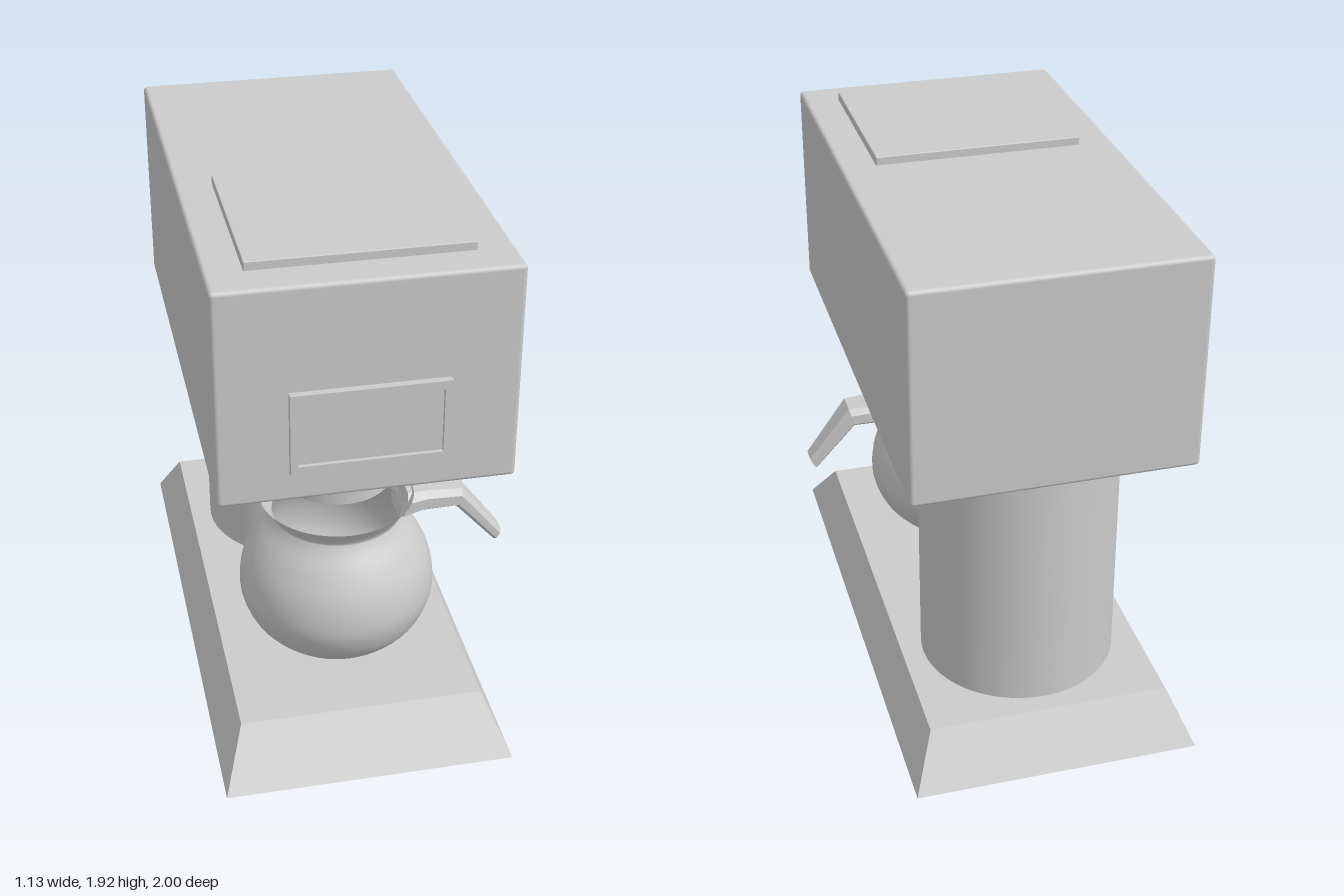
import * as THREE from 'three';
import { RoundedBoxGeometry } from 'three/addons/geometries/RoundedBoxGeometry.js';

const CX = -0.055; // centre line of the machine
const POT_Z = 0.39;

export function createModel() {
  const model = new THREE.Group();
  model.name = 'coffeeMaker';
  const grey = new THREE.MeshStandardMaterial({ color: 0xcccccc });
  const thin = new THREE.MeshStandardMaterial({ color: 0xcccccc, side: THREE.DoubleSide });
  const flat = new THREE.MeshStandardMaterial({ color: 0xcccccc, flatShading: true });

  const add = (name, geometry, x, y, z, material = grey, parent = model) => {
    const mesh = new THREE.Mesh(geometry, material);
    mesh.name = name;
    mesh.position.set(x, y, z);
    parent.add(mesh);
    return mesh;
  };

  // Base plate with sloping sides
  const base = new THREE.BoxGeometry(1.025, 0.185, 2);
  const p = base.attributes.position;
  for (let i = 0; i < p.count; i++) {
    if (p.getY(i) > 0) {
      p.setX(i, p.getX(i) > 0 ? 0.433 : -0.433);
      p.setZ(i, p.getZ(i) > 0 ? 0.84 : -0.875);
    }
  }
  base.computeVertexNormals();
  add('base', base, -0.053, 0.0925, 0);

  // Rear column
  add('column', new THREE.CylinderGeometry(0.355, 0.355, 0.96, 48), -0.053, 0.66, -0.45);

  // Upper housing and lid
  add('housing', new RoundedBoxGeometry(0.985, 0.765, 1.775, 3, 0.015), -0.053, 1.5125, -0.003);
  add('lid', new RoundedBoxGeometry(0.735, 0.045, 0.67, 2, 0.004), -0.053, 1.9025, 0.418);

  // Display: raised frame around a recessed screen
  const rect = (target, w, h) => {
    target.moveTo(-w / 2, -h / 2);
    target.lineTo(w / 2, -h / 2);
    target.lineTo(w / 2, h / 2);
    target.lineTo(-w / 2, h / 2);
    target.closePath();
    return target;
  };
  const frame = rect(new THREE.Shape(), 0.52, 0.29);
  frame.holes.push(rect(new THREE.Path(), 0.47, 0.23));
  const display = new THREE.Group();
  display.name = 'display';
  display.position.set(-0.05, 1.385, 0.88);
  model.add(display);
  add('displayFrame', new THREE.ExtrudeGeometry(frame, { depth: 0.03, bevelEnabled: false }), 0, 0, 0, grey, display);
  add('displayScreen', new THREE.BoxGeometry(0.47, 0.23, 0.015), 0, 0, 0.0075, grey, display);

  // Stepped filter holder
  const filter = new THREE.Group();
  filter.name = 'filterHolder';
  model.add(filter);
  const steps = [[0.288, 1.045, 1.135], [0.253, 0.985, 1.045], [0.222, 0.932, 0.985], [0.195, 0.882, 0.932]];
  steps.forEach(([r, low, high], i) => {
    add('filterStep' + (i + 1), new THREE.CylinderGeometry(r, r, high - low, 48), CX, (low + high) / 2, POT_Z, grey, filter);
  });

  // Glass pot: closed bottom, round belly, narrow neck, flared rim
  const pot = new THREE.Group();
  pot.name = 'pot';
  model.add(pot);
  const belly = new THREE.SplineCurve([
    [0.16, 0.186], [0.235, 0.232], [0.307, 0.305], [0.346, 0.39], [0.353, 0.465],
    [0.337, 0.555], [0.296, 0.64], [0.25, 0.705], [0.232, 0.74],
  ].map(([x, y]) => new THREE.Vector2(x, y)));
  const profile = [
    new THREE.Vector2(0, 0.186),
    ...belly.getPoints(32),
    new THREE.Vector2(0.245, 0.762),
    new THREE.Vector2(0.277, 0.806),
  ];
  add('potBody', new THREE.LatheGeometry(profile, 56), CX, 0, POT_Z, thin, pot);

  // Handle: chamfered sections as [top x, top y, bottom x, bottom y, half width]
  const sections = [
    [0.195, 0.8, 0.165, 0.695, 0.093],
    [0.27, 0.794, 0.25, 0.712, 0.075],
    [0.4, 0.785, 0.38, 0.712, 0.07],
    [0.56, 0.575, 0.535, 0.533, 0.046],
  ];
  const ring = [[0, 0.65], [0.25, 1], [0.75, 1], [1, 0.65], [1, -0.65], [0.75, -1], [0.25, -1], [0, -0.65]];
  const points = [];
  const faces = [];
  const n = ring.length;
  sections.forEach(([tx, ty, bx, by, w], s) => {
    for (const [t, side] of ring) points.push(tx + (bx - tx) * t, ty + (by - ty) * t, side * w);
    if (s === 0) return;
    for (let i = 0; i < n; i++) {
      const a = (s - 1) * n + i, b = (s - 1) * n + (i + 1) % n;
      faces.push(a, b, a + n, b, b + n, a + n);
    }
  });
  const last = (sections.length - 1) * n;
  for (let i = 1; i < n - 1; i++) {
    faces.push(0, i + 1, i, last, last + i, last + i + 1);
  }
  const handle = new THREE.BufferGeometry();
  handle.setAttribute('position', new THREE.Float32BufferAttribute(points, 3));
  handle.setIndex(faces);
  handle.computeVertexNormals();
  flat.side = THREE.DoubleSide;
  add('potHandle', handle, 0, 0, 0.383, flat, pot);

  return model;
}
